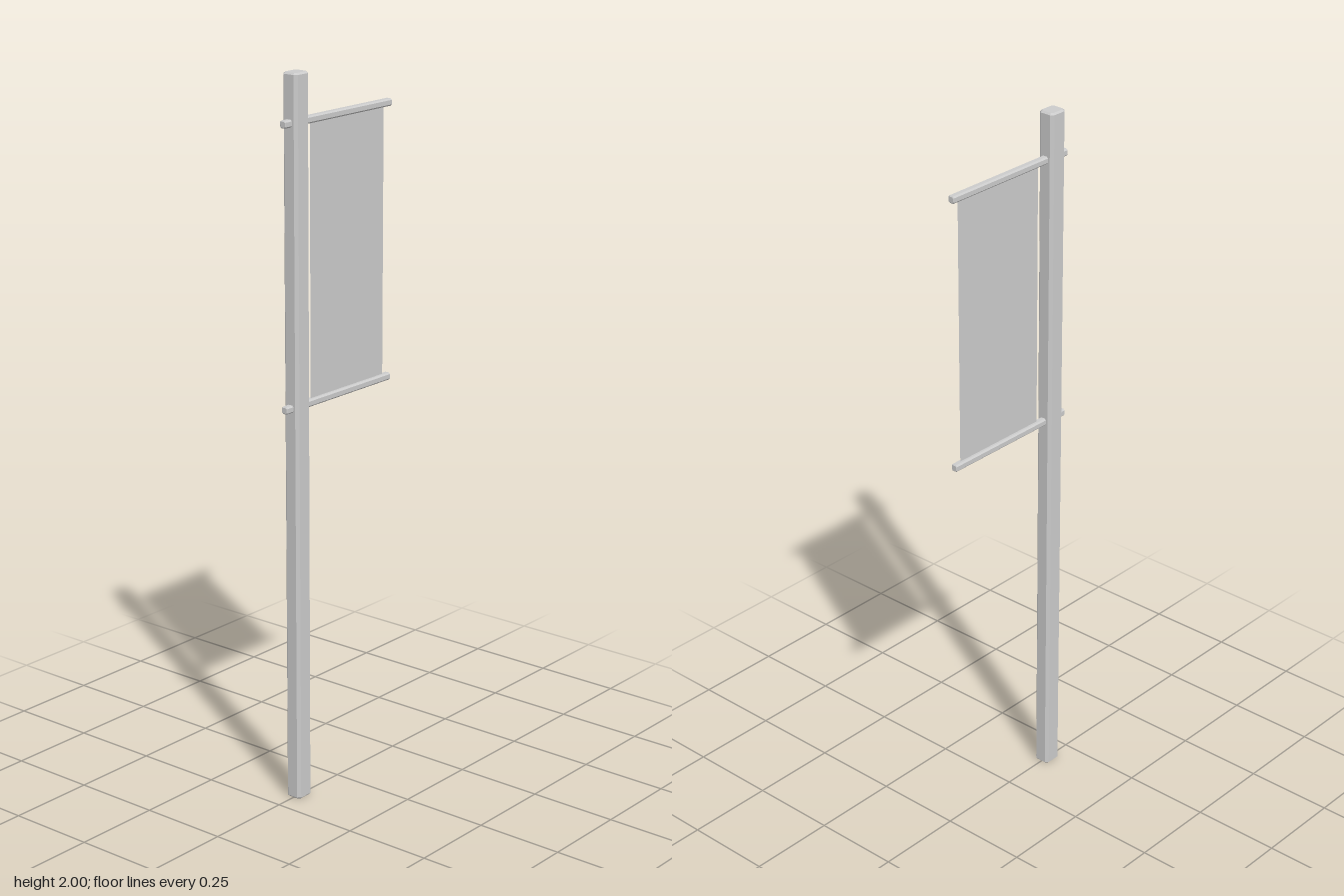
import * as THREE from 'three';

const material = new THREE.MeshStandardMaterial({ color: 0xcccccc, flatShading: true });

// Beam along z, centred, with every edge chamfered by c
function chamferedBeam(w, h, length, c) {
  const x = w / 2, y = h / 2;
  const section = new THREE.Shape([
    [-x + c, -y], [x - c, -y], [x, -y + c], [x, y - c],
    [x - c, y], [-x + c, y], [-x, y - c], [-x, -y + c],
  ].map(([a, b]) => new THREE.Vector2(a, b)));
  const bevel = c * 0.6;
  return new THREE.ExtrudeGeometry(section, {
    depth: length - 2 * bevel, bevelEnabled: true, bevelSegments: 1,
    bevelThickness: bevel, bevelSize: bevel, bevelOffset: -bevel,
  }).translate(0, 0, bevel - length / 2);
}

export function createModel() {
  const model = new THREE.Group();
  model.name = 'bannerPost';
  const add = (name, geometry, x, y, mat = material) => {
    const mesh = new THREE.Mesh(geometry, mat);
    mesh.name = name;
    mesh.position.set(x, y, 0);
    model.add(mesh);
  };

  // Upright post
  add('post', chamferedBeam(0.055, 0.048, 2, 0.008).rotateX(-Math.PI / 2), -0.165, 1);

  // Two crossbars passing through the post
  const bar = chamferedBeam(0.02, 0.02, 0.434, 0.004).rotateY(Math.PI / 2);
  add('upperBar', bar, 0, 1.871);
  add('lowerBar', bar, 0, 1.117);

  // Thin cloth stretched between the bars
  const cloth = material.clone();
  cloth.side = THREE.DoubleSide;
  add('banner', new THREE.PlaneGeometry(0.303, 0.754), 0.041, 1.494, cloth);

  return model;
}
